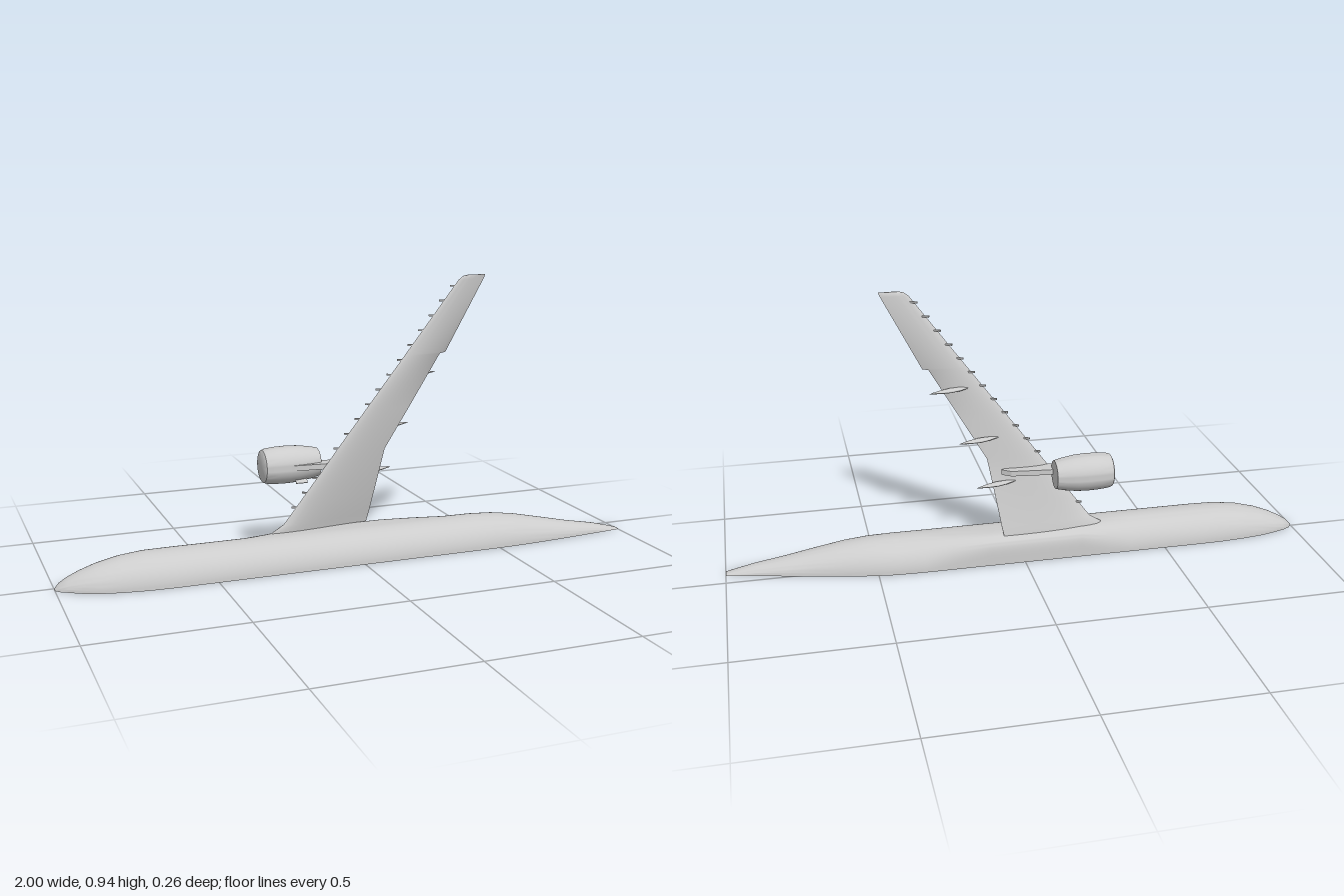
import * as THREE from 'three';
import { toCreasedNormals } from 'three/addons/utils/BufferGeometryUtils.js';

const grey = new THREE.MeshStandardMaterial({ color: 0xcccccc });

function part(name, geometry, parent) {
  const mesh = new THREE.Mesh(geometry, grey);
  mesh.name = name;
  parent.add(mesh);
  return mesh;
}

// Skin closed cross-sections (arrays of [x, y, z]) and cap both ends
function loft(rings, crease) {
  const n = rings[0].length, pos = [];
  const tri = (...pts) => pts.forEach(p => pos.push(...p));
  for (let i = 0; i < rings.length - 1; i++) {
    for (let j = 0; j < n; j++) {
      const k = (j + 1) % n, a = rings[i], b = rings[i + 1];
      tri(a[j], b[j], a[k]);
      tri(a[k], b[j], b[k]);
    }
  }
  const cap = (r, flip) => {
    const c = [0, 1, 2].map(d => r.reduce((s, p) => s + p[d], 0) / n);
    for (let j = 0; j < n; j++) {
      const k = (j + 1) % n;
      flip ? tri(c, r[k], r[j]) : tri(c, r[j], r[k]);
    }
  };
  cap(rings[0], false);
  cap(rings[rings.length - 1], true);
  const g = new THREE.BufferGeometry();
  g.setAttribute('position', new THREE.Float32BufferAttribute(pos, 3));
  return toCreasedNormals(g, crease);
}

// Linear lookup in rows of [key, ...values]
function sample(rows, key) {
  let i = 0;
  while (i < rows.length - 2 && key > rows[i + 1][0]) i++;
  const a = rows[i], b = rows[i + 1];
  const t = THREE.MathUtils.clamp((key - a[0]) / (b[0] - a[0]), 0, 1);
  return a.map((v, d) => v + (b[d] - v) * t);
}

// Half fuselage: x, belly z, crown z, half width, squareness of the belly
const BODY = [
  [-1, 0.002, 0.022, 0.003, 2], [-0.985, -0.015, 0.04, 0.02, 2],
  [-0.96, -0.027, 0.055, 0.036, 2], [-0.92, -0.04, 0.08, 0.055, 2],
  [-0.87, -0.052, 0.1, 0.073, 2], [-0.8, -0.062, 0.116, 0.09, 2],
  [-0.72, -0.068, 0.126, 0.099, 2], [-0.64, -0.07, 0.13, 0.1, 2],
  [-0.38, -0.07, 0.13, 0.1, 2], [-0.3, -0.07, 0.13, 0.1, 2.6],
  [-0.2, -0.07, 0.13, 0.1, 4.5], [0.12, -0.07, 0.13, 0.1, 4.5],
  [0.24, -0.07, 0.13, 0.1, 3], [0.34, -0.07, 0.13, 0.1, 2],
  [0.44, -0.067, 0.13, 0.1, 2], [0.52, -0.057, 0.129, 0.097, 2],
  [0.6, -0.042, 0.126, 0.087, 2], [0.7, -0.018, 0.118, 0.067, 2],
  [0.8, 0.005, 0.108, 0.046, 2], [0.9, 0.028, 0.097, 0.029, 2],
  [0.97, 0.044, 0.089, 0.012, 2], [1, 0.05, 0.085, 0.003, 2]
];

function fuselageRing([x, low, high, width, power]) {
  const ring = [], mid = (low + high) / 2, half = (high - low) / 2, steps = 32;
  for (let j = 0; j <= steps; j++) {
    const a = Math.PI * j / steps, c = Math.cos(a), s = Math.sin(a);
    const e = 2 / (c < 0 ? power : 2);
    ring.push([x, j % steps ? width * Math.pow(s, e) : 0,
      mid + half * Math.sign(c) * Math.pow(Math.abs(c), e)]);
  }
  return ring;
}

// Wing stations: y, leading x, trailing x, leading z, trailing z, thickness
const WING = [
  [0.05, -0.3, 0.06, -0.012, -0.05, 0.036],
  [0.1, -0.28, 0.07, -0.008, -0.042, 0.036],
  [0.125, -0.24, 0.075, -0.006, -0.036, 0.034],
  [0.2, -0.184, 0.087, 0.001, -0.019, 0.031],
  [0.3, -0.11, 0.104, 0.01, 0.001, 0.027],
  [0.36, -0.066, 0.115, 0.015, 0.011, 0.024],
  [0.5, 0.038, 0.196, 0.028, 0.027, 0.02],
  [0.678, 0.171, 0.3, 0.044, 0.042, 0.016],
  [0.682, 0.174, 0.32, 0.044, 0.042, 0.016],
  [0.925, 0.354, 0.445, 0.066, 0.066, 0.01],
  [0.937, 0.37, 0.45, 0.067, 0.067, 0.008],
  [0.94, 0.385, 0.45, 0.068, 0.068, 0.005]
];

function airfoilRing([y, x0, x1, z0, z1, thick]) {
  const ring = [], steps = 14;
  const point = (u, side) => {
    const h = 5 * thick * (0.2969 * Math.sqrt(u) - 0.126 * u - 0.3516 * u * u
      + 0.2843 * u ** 3 - 0.1 * u ** 4);
    ring.push([x0 + (x1 - x0) * u, y, z0 + (z1 - z0) * u + side * h]);
  };
  for (let i = 0; i <= steps; i++) point((1 + Math.cos(Math.PI * i / steps)) / 2, 1);
  for (let i = 1; i <= steps; i++) point((1 - Math.cos(Math.PI * i / steps)) / 2, -1);
  return ring;
}

// Body of revolution about the x axis from [x, radius] points
function spin(points, segments) {
  const g = new THREE.LatheGeometry(points.map(([x, r]) => new THREE.Vector2(r, x)), segments);
  return g.rotateZ(-Math.PI / 2);
}

export function createModel() {
  const model = new THREE.Group();
  model.name = 'halfAirliner';

  part('fuselage', loft(BODY.map(fuselageRing), 0.7), model);
  part('wing', loft(WING.map(airfoilRing), 0.7), model);

  // Engine nacelle with flat intake and exhaust faces
  const nacelle = spin([[-0.295, 0], [-0.295, 0.05], [-0.292, 0.055], [-0.28, 0.059],
    [-0.25, 0.062], [-0.21, 0.063], [-0.17, 0.061], [-0.13, 0.055], [-0.1, 0.048], [-0.1, 0]], 48);
  part('engineNacelle', toCreasedNormals(nacelle, 0.6), model).position.set(0, 0.315, -0.067);

  // Small strake on the inboard side of the nacelle
  const strake = part('nacelleStrake', new THREE.BoxGeometry(0.04, 0.022, 0.003), model);
  strake.position.set(-0.17, 0.266, -0.026);
  strake.rotation.x = -0.8;

  // Pylon: side outline in x and z, extruded across y
  const outline = new THREE.Shape([[-0.25, -0.014], [-0.2, -0.002], [-0.09, 0.008], [0.05, 0.005],
    [0.07, -0.008], [0.04, -0.03], [-0.09, -0.045], [-0.16, -0.03]]
    .map(p => new THREE.Vector2(...p)));
  const pylon = new THREE.ExtrudeGeometry(outline, { depth: 0.018, bevelEnabled: false });
  part('enginePylon', pylon.rotateX(Math.PI / 2), model).position.y = 0.324;

  // Flap track fairings, slender pods drooping aft of the trailing edge
  const pod = spin([[-0.075, 0], [-0.06, 0.006], [-0.03, 0.012], [0, 0.014],
    [0.03, 0.011], [0.06, 0.005], [0.075, 0]], 16).scale(1, 0.5, 1);
  [[0.28, 0.088, -0.024], [0.435, 0.142, -0.004], [0.61, 0.232, 0.018]].forEach(([y, x, z]) => {
    const fairing = part('flapTrackFairing', pod, model);
    fairing.position.set(x, y, z);
    fairing.rotation.y = 0.26;
  });

  // Slat tracks: short pegs under the leading edge, leaving a gap at the engine
  const peg = new THREE.BoxGeometry(0.026, 0.005, 0.007);
  for (let y = 0.18; y < 0.92; y += 0.0483) {
    if (y > 0.29 && y < 0.34) continue;
    const [, x, , z] = sample(WING, y);
    const track = part('slatTrack', peg, model);
    track.position.set(x + 0.001, y, z - 0.006);
    track.rotation.y = -0.45;
  }
  return model;
}
